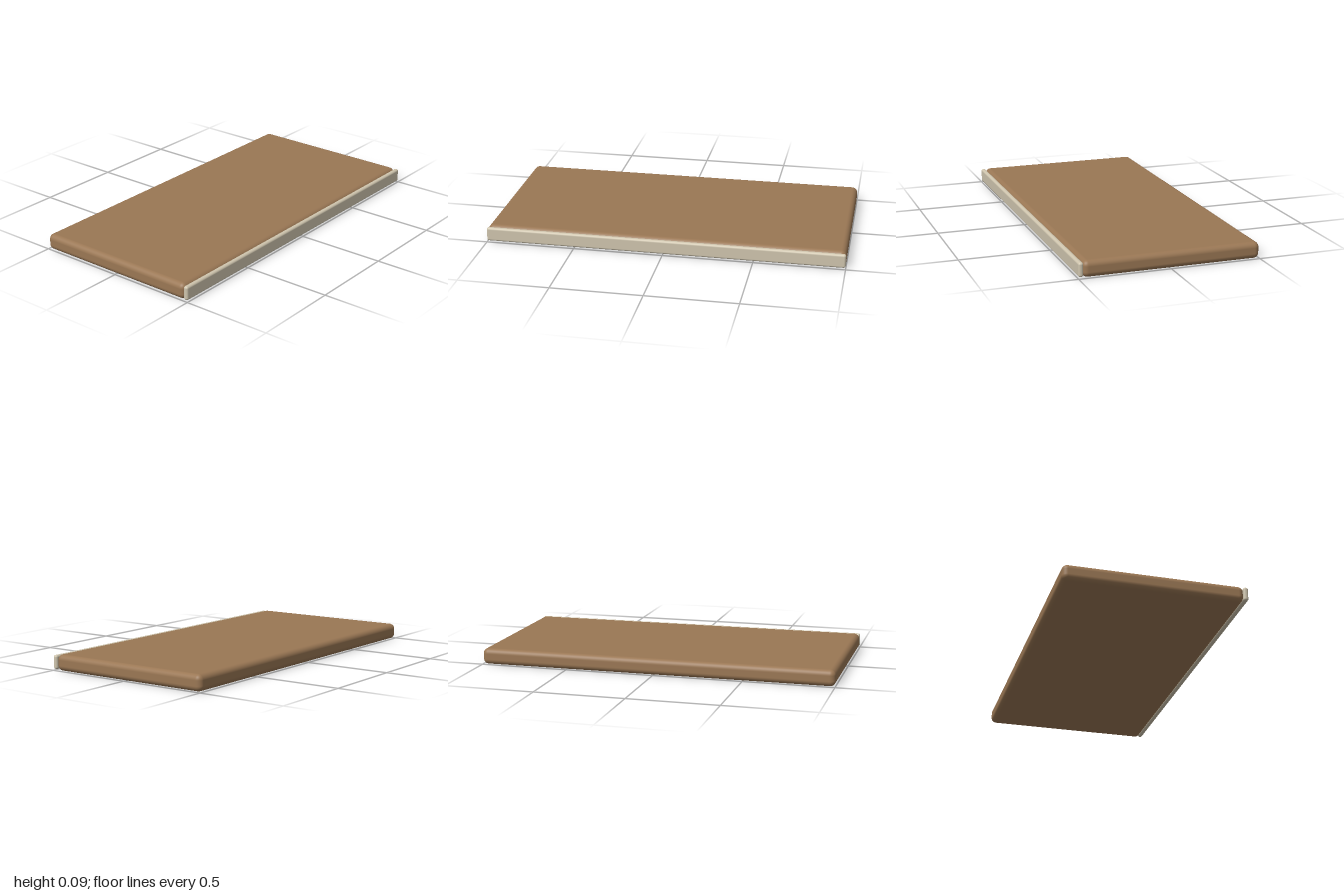
import * as THREE from 'three';
import { RoundedBoxGeometry } from 'three/addons/geometries/RoundedBoxGeometry.js';

// Rounded slab spanning the full width, given its y and z extents
function slab(name, y0, y1, z0, z1, radius, color) {
  const geometry = new RoundedBoxGeometry(2, y1 - y0, z1 - z0, 5, radius);
  const mesh = new THREE.Mesh(geometry, new THREE.MeshStandardMaterial({ color }));
  mesh.name = name;
  mesh.position.set(0, (y0 + y1) / 2, (z0 + z1) / 2);
  return mesh;
}

export function createModel() {
  const group = new THREE.Group();
  group.name = 'shelfBoard';
  // Wooden board with soft edges
  group.add(slab('board', 0, 0.09, -0.5, 0.476, 0.03, 0x9a7754));
  // Pale trim along the front edge
  group.add(slab('frontTrim', 0.007, 0.085, 0.473, 0.5, 0.012, 0xcfc5ae));
  return group;
}
